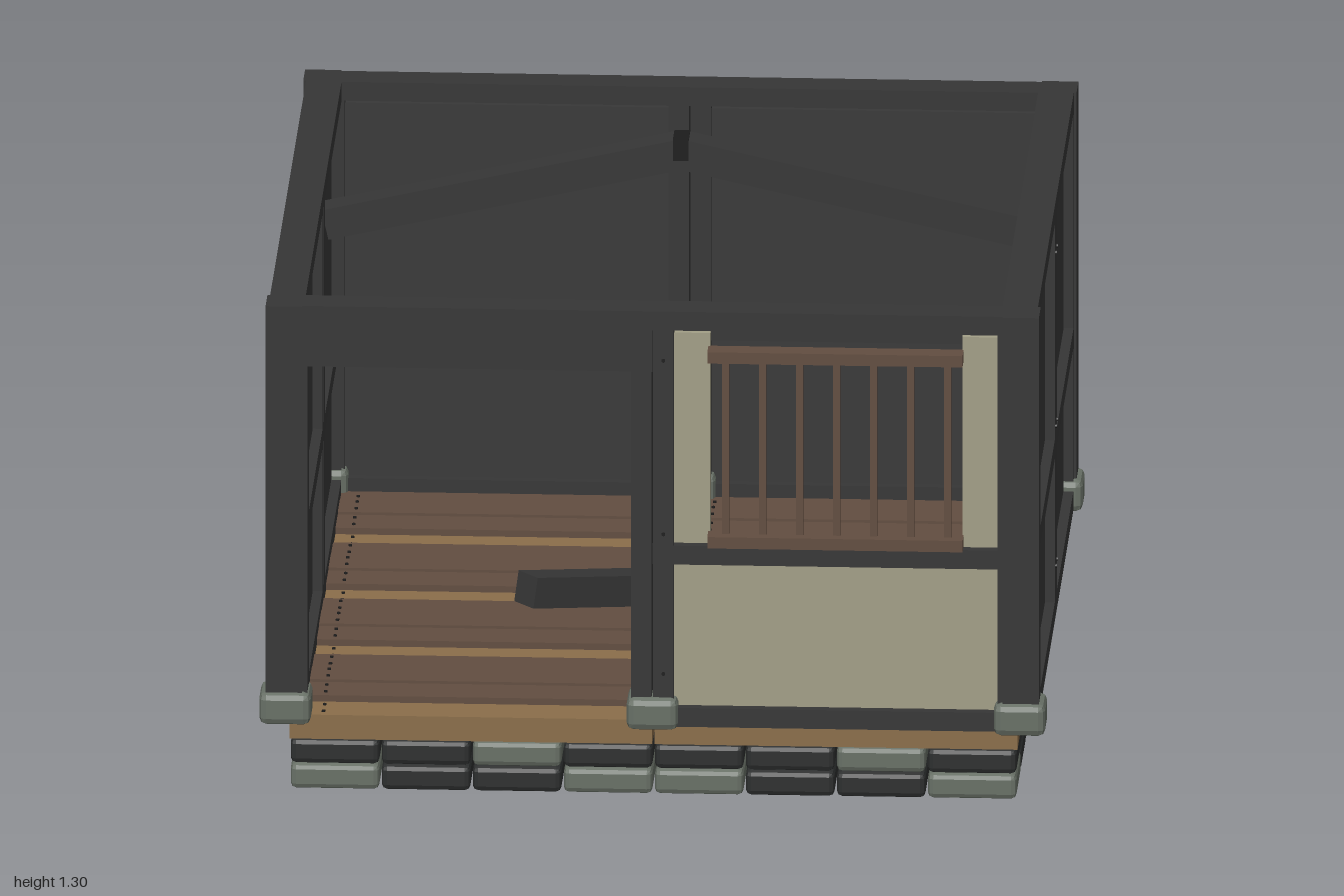
import * as THREE from 'three';
import { RoundedBoxGeometry } from 'three/addons/geometries/RoundedBoxGeometry.js';

const mat = (name, color) => {
  const m = new THREE.MeshStandardMaterial({ color });
  m.name = name;
  return m;
};

export function createModel() {
  const timber = mat('dark timber', 0x363636);
  const panelDark = mat('dark panel', 0x383838);
  const plaster = mat('cream plaster', 0xa39f87);
  const brown = mat('brown wood', 0x624d40);
  const tan = mat('tan wood', 0x8b6e4a);
  const stone = mat('grey stone', 0x687066);
  const slate = mat('dark stone', 0x2d2f2f);
  const iron = mat('black iron', 0x1c1c1c);

  const model = new THREE.Group();
  model.name = 'roofless house';
  const group = (name, parent = model) => {
    const g = new THREE.Group();
    g.name = name;
    parent.add(g);
    return g;
  };
  const add = (parent, name, geometry, material) => {
    const mesh = new THREE.Mesh(geometry, material);
    mesh.name = name;
    parent.add(mesh);
    return mesh;
  };
  // Box given by its lower and upper limits on each axis
  const box = (parent, name, material, x0, x1, y0, y1, z0, z1) => {
    const mesh = add(parent, name, new THREE.BoxGeometry(Math.abs(x1 - x0), y1 - y0, z1 - z0), material);
    mesh.position.set((x0 + x1) / 2, (y0 + y1) / 2, (z0 + z1) / 2);
    return mesh;
  };
  // Block with flat chamfered edges
  const chamfered = (w, h, d, r) => {
    const g = new RoundedBoxGeometry(w, h, d, 1, r);
    g.computeVertexNormals();
    return g;
  };

  // Foundation: two courses of 8 x 8 stones
  const foundation = group('foundation');
  const pitch = 0.23;
  const blockGeo = chamfered(0.224, 0.066, 0.224, 0.014);
  for (let course = 0; course < 2; course++) {
    for (let i = 0; i < 8; i++) {
      for (let j = 0; j < 8; j++) {
        const a = Math.min(i, 7 - i), b = Math.min(j, 7 - j);
        const light = course === 0 ? (a + b) % 3 === 0 : (i % 4 === 2) !== (j % 4 === 2);
        const block = add(foundation, 'foundationStone', blockGeo, light ? stone : slate);
        block.position.set((i - 3.5) * pitch, 0.035 + course * 0.067, (3.5 - j) * pitch);
      }
    }
  }

  // Floor: sixteen rows of planks, each in two lengths
  const floor = group('floor');
  const nailGeo = new THREE.CylinderGeometry(0.005, 0.005, 0.008, 6);
  for (let row = 0; row < 16; row++) {
    const isTan = row % 4 === 3;
    const z0 = -0.92 + row * 0.115;
    const top = isTan ? 0.2 : 0.215 + 0.005 * (row % 2);
    for (const s of [-1, 1]) {
      box(floor, 'floorPlank', isTan ? tan : brown, s * 0.003, s * 0.92, 0.136, top, z0 + 0.003, z0 + 0.112);
      for (const x of [0.065, 0.835]) {
        for (const dz of [0.03, 0.085]) {
          const nail = add(floor, 'floorNail', nailGeo, iron);
          nail.position.set(s * x, top, z0 + dz);
        }
      }
    }
  }

  // One half of a wall facing +z, between the middle post and a corner
  const IN = 0.88, OUT = 0.97;
  const halfWall = (wall, s, kind) => {
    box(wall, 'sideStile', timber, s * 0.872, s * 0.92, 0.2, 1.3, IN, OUT);
    if (kind === 'door') {
      box(wall, 'doorLintel', timber, 0, s * 0.92, 1.14, 1.3, IN, OUT);
      return;
    }
    for (const [y0, y1] of [[0.2, 0.25], [0.63, 0.68], [1.25, 1.3]]) {
      box(wall, 'rail', timber, 0, s * 0.92, y0, y1, IN, OUT);
    }
    const m = kind === 'window' ? plaster : panelDark;
    box(wall, 'lowerPanel', m, s * 0.04, s * 0.89, 0.24, 0.64, 0.905, 0.945);
    if (kind === 'window') {
      box(wall, 'windowCheek', m, s * 0.04, s * 0.145, 0.67, 1.237, 0.905, 0.945);
      box(wall, 'windowCheek', m, s * 0.782, s * 0.89, 0.67, 1.237, 0.905, 0.945);
    } else {
      box(wall, 'upperPanel', m, s * 0.04, s * 0.89, 0.67, 1.237, 0.905, 0.945);
    }
    // Nails in the middle post
    for (const y of [0.34, 0.71, 1.17]) {
      const nail = add(wall, 'postNail', nailGeo, iron);
      nail.rotation.x = Math.PI / 2;
      nail.position.set(s * 0.028, y, OUT);
    }
  };

  const walls = [
    ['frontWall', 0, 'window', 'door'],
    ['leftWall', Math.PI / 2, 'panel', 'panel'],
    ['backWall', Math.PI, 'panel', 'panel'],
    ['rightWall', -Math.PI / 2, 'panel', 'panel'],
  ];
  const footGeo = chamfered(0.13, 0.085, 0.13, 0.018);
  for (const [name, angle, plus, minus] of walls) {
    const wall = group(name);
    wall.rotation.y = angle;
    halfWall(wall, 1, plus);
    halfWall(wall, -1, minus);
    // Middle post in two pieces with a fine joint
    for (const s of [-1, 1]) box(wall, 'middlePost', timber, s * 0.002, s * 0.054, 0.2, 1.3, IN, OUT);
    // Corner post and its stone foot
    box(wall, 'cornerPost', timber, 0.885, 0.977, 0.2, 1.3, 0.885, 0.977);
    add(wall, 'cornerFoot', footGeo, stone).position.set(0.928, 0.235, 0.928);
    // Stone foot under the middle post of the front and back walls
    if (name === 'frontWall' || name === 'backWall') {
      add(wall, 'middleFoot', footGeo, stone).position.set(0, 0.235, 0.925);
    }
  }

  // Window grille
  const grille = group('windowGrille');
  box(grille, 'lowerGrilleRail', brown, 0.14, 0.785, 0.682, 0.712, 0.94, 0.995);
  box(grille, 'upperGrilleRail', brown, 0.14, 0.785, 1.172, 1.202, 0.94, 0.995);
  for (let i = 0; i < 7; i++) {
    const x = 0.185 + i * 0.0935;
    box(grille, 'grilleBar', brown, x - 0.009, x + 0.009, 0.7, 1.18, 0.947, 0.967);
  }

  // Rafter pair rising to a peak in the middle
  const rafters = group('rafters');
  const slope = Math.atan(0.224);
  for (const s of [-1, 1]) {
    const rafter = add(rafters, 'rafter', new THREE.BoxGeometry(0.92, 0.08, 0.08), timber);
    rafter.rotation.z = -s * slope;
    rafter.position.set(s * 0.45, 1.165, -0.47);
  }
  box(rafters, 'peakPlate', iron, -0.02, 0.02, 1.25, 1.305, -0.512, -0.428);

  // Fallen beam lying aslant across the floor
  const fallen = group('fallenBeam');
  fallen.position.set(0, 0.258, -0.005);
  fallen.rotation.y = Math.atan2(0.59, 0.7);
  const beam = add(fallen, 'beam', new THREE.BoxGeometry(0.94, 0.08, 0.08), timber);
  beam.rotation.z = -0.175;

  return model;
}
